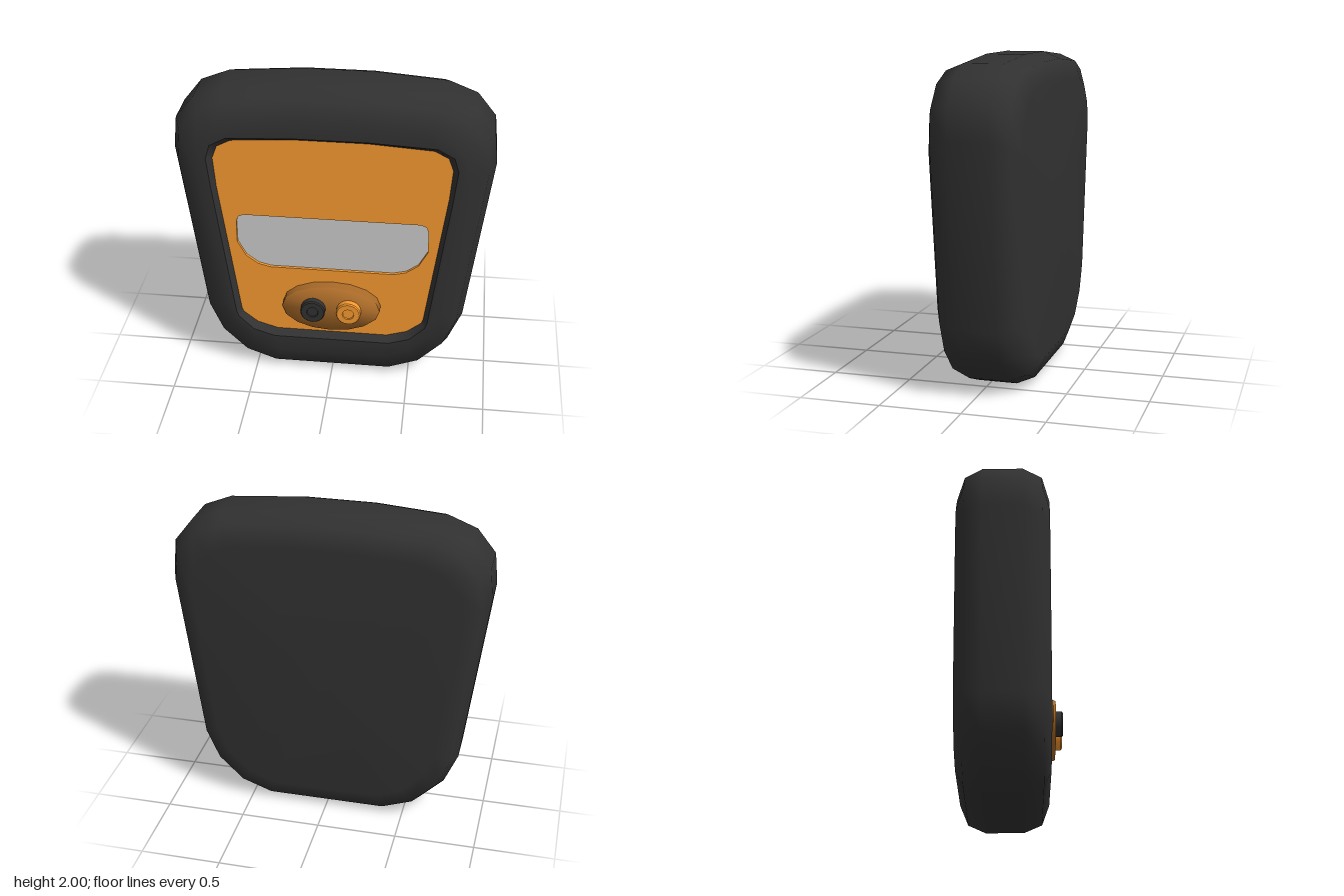
import * as THREE from 'three';
import { toCreasedNormals } from 'three/addons/utils/BufferGeometryUtils.js';

const mat = (color) => new THREE.MeshStandardMaterial({ color });
const rubber = mat(0x313131), orange = mat(0xf79a30), darkOrange = mat(0xa96a28), grey = mat(0xcccccc);

// Half outline (top to bottom) mirrored into a counter-clockwise loop
const mirror = (half) => [
  ...half.map(([x, y]) => [-x, y]),
  ...half.slice().reverse(),
];

const outer = mirror([[0.22, 2], [0.67, 1.965], [0.845, 1.895], [0.96, 1.75], [0.98, 1.555],
  [0.835, 0.435], [0.75, 0.235], [0.59, 0.075], [0.39, 0]]);
const rim = mirror([[0.22, 1.725], [0.63, 1.705], [0.73, 1.65], [0.757, 1.56], [0.735, 1.36],
  [0.615, 0.45], [0.6, 0.41], [0.505, 0.315], [0.37, 0.272]]);
const inner = mirror([[0.22, 1.695], [0.61, 1.67], [0.695, 1.625], [0.725, 1.545], [0.71, 1.35],
  [0.588, 0.45], [0.578, 0.42], [0.485, 0.345], [0.355, 0.305]]);
const windowLoop = mirror([[0.55, 1.155], [0.585, 1.14], [0.597, 1.1], [0.597, 0.955],
  [0.543, 0.855], [0.468, 0.8], [0.388, 0.78]]);

const scaled = (s, z) => outer.map(([x, y]) => [x * s, 1 + (y - 1) * s, z]);
const atZ = (loop, z) => loop.map(([x, y]) => [x, y, z]);
const toShape = (loop) => new THREE.Shape(loop.map(([x, y]) => new THREE.Vector2(x, y)));

// Smooth skin through a list of equal-length loops
function loft(loops) {
  const n = loops[0].length, index = [];
  for (let i = 0; i < loops.length - 1; i++) {
    for (let j = 0; j < n; j++) {
      const k = (j + 1) % n;
      const a = i * n + j, b = i * n + k, c = b + n, d = a + n;
      index.push(a, b, c, a, c, d);
    }
  }
  const geo = new THREE.BufferGeometry();
  geo.setAttribute('position', new THREE.Float32BufferAttribute(loops.flat(2), 3));
  geo.setIndex(index);
  geo.computeVertexNormals();
  return geo;
}

// Turned part whose axis points to the front
function turned(profile, sides) {
  const points = profile.map(([r, z]) => new THREE.Vector2(r, z));
  const geo = new THREE.LatheGeometry(points, sides).rotateX(Math.PI / 2);
  return toCreasedNormals(geo, 0.6);
}

export function createModel() {
  const group = new THREE.Group();
  const add = (name, geo, material, x = 0, y = 0, z = 0) => {
    const mesh = new THREE.Mesh(geo, material);
    mesh.name = name;
    mesh.position.set(x, y, z);
    group.add(mesh);
    return mesh;
  };

  // Rounded shell: closed back, sides and front bezel
  add('shell', loft([
    scaled(0, -0.32), scaled(0.84, -0.32), scaled(0.955, -0.27), scaled(1, -0.16),
    scaled(1, 0.08), scaled(0.955, 0.195), scaled(0.84, 0.24), atZ(rim, 0.24),
  ]), rubber);

  // Sloped wall down to the recessed panel
  add('bezelLip', loft([atZ(rim, 0.24), atZ(inner, 0.195), atZ(inner, 0.165)]), rubber);

  // Front panel with a window cut out
  const panel = toShape(inner);
  panel.holes.push(toShape(windowLoop));
  add('frontPanel', new THREE.ExtrudeGeometry(panel, { depth: 0.03, bevelEnabled: false }),
    orange, 0, 0, 0.165);

  // Display sunk into the window
  add('screen', new THREE.ShapeGeometry(toShape(windowLoop)), grey, 0, 0, 0.176);

  // Oval button pad
  const pad = add('buttonPad', turned([[1, 0], [1, 0.065], [0.965, 0.08], [0, 0.08]], 16),
    darkOrange, 0, 0.532, 0.193);
  pad.scale.set(0.313, 0.163, 1);

  // Two round buttons with a small dimple
  const button = turned([[0.079, 0], [0.079, 0.042], [0.072, 0.05], [0.037, 0.05],
    [0.034, 0.042], [0, 0.042]], 20);
  add('rightButton', button, rubber, -0.11, 0.535, 0.268);
  add('leftButton', button, orange, 0.117, 0.535, 0.268);

  return group;
}
